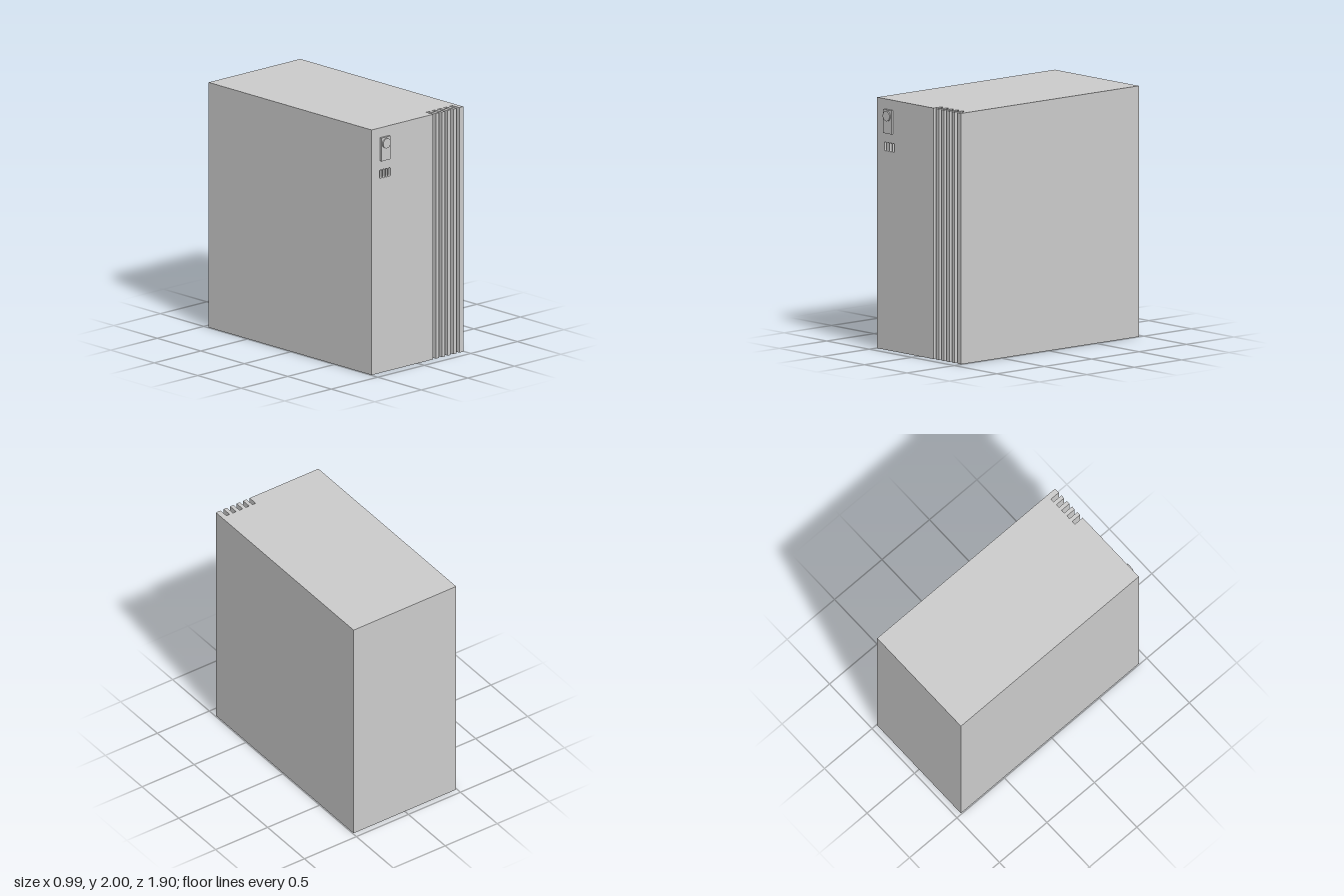
import * as THREE from 'three';

const W = 0.493, H = 2, BACK = -0.952, FRONT = 0.922;
const GROOVE_X = 0.168, GROOVE_W = 0.031, GROOVE_PITCH = 0.0625, GROOVE_DEPTH = 0.082;
const SLOT_DEPTH = 0.08;

const material = new THREE.MeshStandardMaterial({ color: 0xcccccc });

function add(parent, name, geometry, x = 0, y = 0, z = 0) {
  const mesh = new THREE.Mesh(geometry, material);
  mesh.name = name;
  mesh.position.set(x, y, z);
  parent.add(mesh);
  return mesh;
}

// Rounded upright slot outline, centred on (cx, cy)
function slotOutline(path, cx, cy, w = 0.025, h = 0.07, r = 0.009) {
  const x = w / 2 - r, y = h / 2 - r;
  path.absarc(cx + x, cy + y, r, 0, Math.PI / 2);
  path.absarc(cx - x, cy + y, r, Math.PI / 2, Math.PI);
  path.absarc(cx - x, cy - y, r, Math.PI, Math.PI * 1.5);
  path.absarc(cx + x, cy - y, r, Math.PI * 1.5, Math.PI * 2);
  path.closePath();
  return path;
}

// Grooved footprint pulled upward, left open where the front panel sits
function casingGeometry() {
  const s = new THREE.Shape();
  s.moveTo(-W, -BACK);
  s.lineTo(-W, -FRONT);
  for (let i = 0; i < 5; i++) {
    const x = GROOVE_X + i * GROOVE_PITCH;
    s.lineTo(x, -FRONT);
    s.lineTo(x, -FRONT + GROOVE_DEPTH);
    s.lineTo(x + GROOVE_W, -FRONT + GROOVE_DEPTH);
    s.lineTo(x + GROOVE_W, -FRONT);
  }
  s.lineTo(W, -FRONT);
  s.lineTo(W, -BACK);
  s.closePath();
  const solid = new THREE.ExtrudeGeometry(s, { depth: H, bevelEnabled: false });
  solid.rotateX(-Math.PI / 2);

  const p = solid.attributes.position, kept = [];
  for (let i = 0; i < p.count; i += 3) {
    const corners = [i, i + 1, i + 2];
    const onPanel = corners.every(k => p.getZ(k) > FRONT - 1e-4 && p.getX(k) < GROOVE_X + 1e-4);
    if (!onPanel) corners.forEach(k => kept.push(p.getX(k), p.getY(k), p.getZ(k)));
  }
  const g = new THREE.BufferGeometry();
  g.setAttribute('position', new THREE.Float32BufferAttribute(kept, 3));
  g.computeVertexNormals();
  return g;
}

export function createModel() {
  const model = new THREE.Group();
  model.name = 'towerCase';

  add(model, 'casing', casingGeometry());

  // Front panel with the row of slots cut out
  const panel = new THREE.Shape();
  panel.moveTo(-W, 0);
  panel.lineTo(GROOVE_X, 0);
  panel.lineTo(GROOVE_X, H);
  panel.lineTo(-W, H);
  panel.closePath();

  // Slot linings: mirrored extrusions, so their faces look inward
  const slots = new THREE.Group();
  slots.name = 'slots';
  model.add(slots);
  for (let i = 0; i < 4; i++) {
    const cx = -0.395 + i * 0.0305, cy = 1.621;
    panel.holes.push(slotOutline(new THREE.Path(), cx, cy));
    const lining = new THREE.ExtrudeGeometry(slotOutline(new THREE.Shape(), cx, cy),
      { depth: SLOT_DEPTH, bevelEnabled: false, curveSegments: 12 });
    lining.scale(1, 1, -1);
    lining.computeVertexNormals();
    add(slots, 'slotLining', lining, 0, 0, FRONT);
  }
  add(model, 'frontPanel', new THREE.ShapeGeometry(panel, 12), 0, 0, FRONT);

  // Raised plate carrying a round button
  add(model, 'buttonPlate', new THREE.BoxGeometry(0.096, 0.19, 0.019), -0.355, 1.825, FRONT + 0.0095);
  const button = new THREE.CylinderGeometry(0.04, 0.04, 0.011, 48);
  button.rotateX(Math.PI / 2);
  add(model, 'powerButton', button, -0.356, 1.87, FRONT + 0.0245);

  return model;
}
